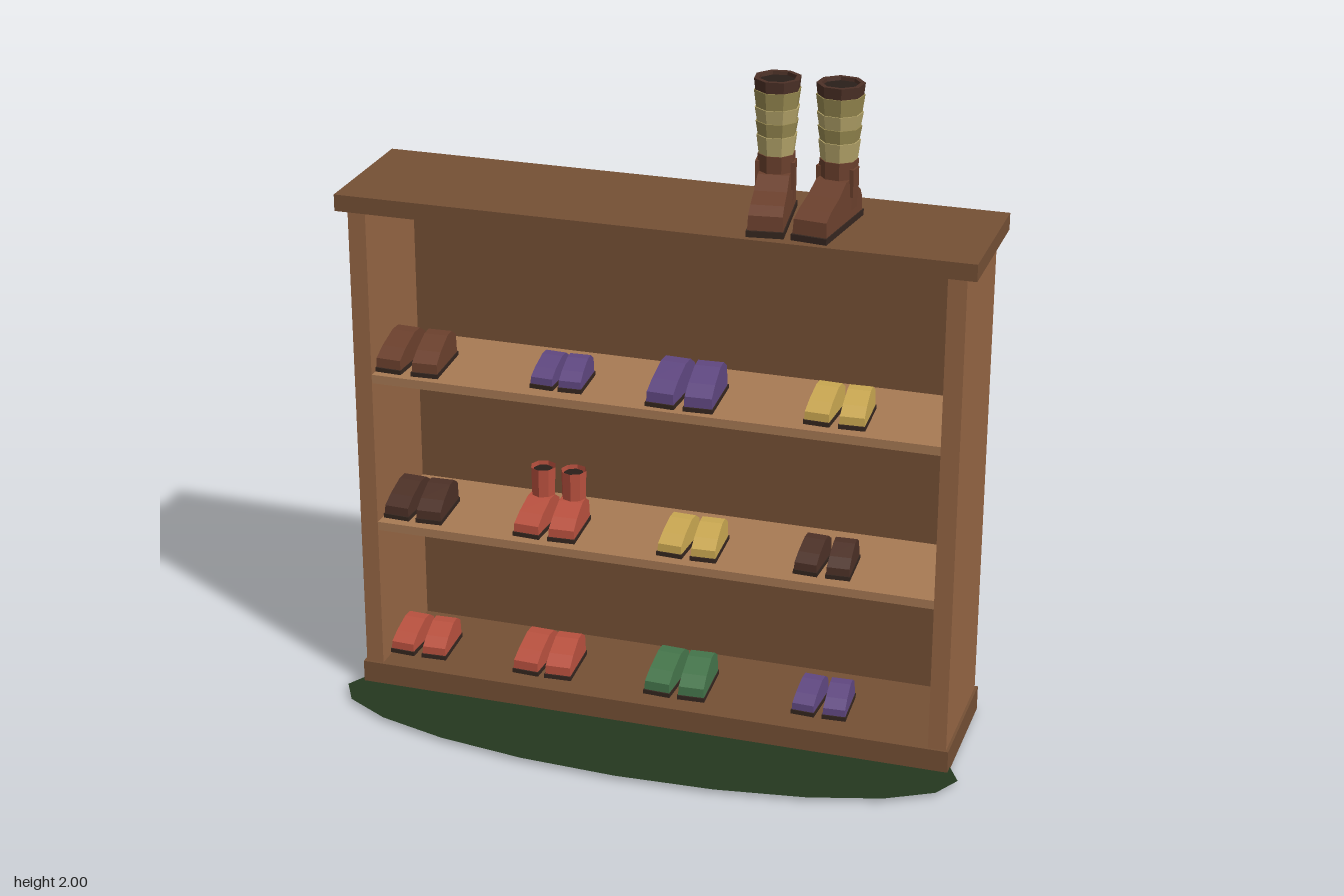
import * as THREE from 'three';

const material = (color) => new THREE.MeshStandardMaterial({ color, flatShading: true, side: THREE.DoubleSide });
const M = {
  wood: material(0x755035), panel: material(0x966644), shelf: material(0xa87a54),
  mat: material(0x24381f), sole: material(0x35261f), red: material(0xb8503e),
  purple: material(0x5f4780), yellow: material(0xc8a650), green: material(0x44744a),
  brown: material(0x6b402d), dark: material(0x4c3026), cloth: material(0xb5a56a),
  clothDark: material(0x978950), lining: material(0x2a1f1a),
};

function add(parent, name, geometry, mat, x = 0, y = 0, z = 0) {
  const mesh = new THREE.Mesh(geometry, mat);
  mesh.name = name;
  mesh.position.set(x, y, z);
  parent.add(mesh);
  return mesh;
}

// Box given by its limits on each axis
function slab(parent, name, mat, [x0, x1], [y0, y1], [z0, z1]) {
  return add(parent, name, new THREE.BoxGeometry(x1 - x0, y1 - y0, z1 - z0), mat,
    (x0 + x1) / 2, (y0 + y1) / 2, (z0 + z1) / 2);
}

// Side profile [z, y] extruded to a width and narrowed toward the top
function profileBody(points, width, taper) {
  const shape = new THREE.Shape(points.map(([z, y]) => new THREE.Vector2(z, y)));
  const g = new THREE.ExtrudeGeometry(shape, { depth: width, bevelEnabled: false });
  g.translate(0, 0, -width / 2).rotateY(-Math.PI / 2);
  const p = g.attributes.position;
  const top = Math.max(...points.map((q) => q[1]));
  for (let i = 0; i < p.count; i++) p.setX(i, p.getX(i) * (1 - taper * p.getY(i) / top));
  g.computeVertexNormals();
  return g;
}

// Low shoe, toe toward +z, centred on its own length
function shoe(mat, width, height, length, shaftHeight) {
  const g = new THREE.Group();
  g.name = 'shoe';
  const h = height, L = length / 2, s = 0.013;
  slab(g, 'sole', M.sole, [-width / 2, width / 2], [0, s], [-L, L]);
  const body = [[-L * 0.95, s], [L * 0.95, s], [L * 0.93, h * 0.45], [L * 0.5, h * 0.72],
    [-L * 0.2, h], [-L * 0.6, h], [-L * 0.95, h * 0.75]];
  add(g, 'upper', profileBody(body, width * 0.96, 0.1), mat);
  if (shaftHeight) {
    const tall = shaftHeight - h * 0.5;
    add(g, 'shaft', new THREE.CylinderGeometry(0.039, 0.036, tall, 8, 1, true), mat, 0, h * 0.5 + tall / 2, -L * 0.6);
    add(g, 'lining', new THREE.CylinderGeometry(0.03, 0.03, 0.004, 8), M.lining, 0, shaftHeight - 0.012, -L * 0.6);
  }
  return g;
}

// Tall boot with a banded cloth shaft, turned about the shaft axis
function tallBoot() {
  const g = new THREE.Group();
  g.name = 'tallBoot';
  slab(g, 'sole', M.sole, [-0.053, 0.053], [0, 0.018], [-0.065, 0.215]);
  const foot = [[-0.06, 0.018], [0.208, 0.018], [0.205, 0.06], [0.17, 0.08], [0.11, 0.1],
    [0.055, 0.13], [0.02, 0.13], [-0.05, 0.08], [-0.06, 0.06]];
  add(g, 'foot', profileBody(foot, 0.102, 0.12), M.brown);
  const ring = (name, mat, r0, r1, y0, y1) => add(g, name,
    new THREE.CylinderGeometry(r1, r0, y1 - y0, 8, 1, false).rotateY(Math.PI / 8), mat, 0, (y0 + y1) / 2, 0);
  ring('ankle', M.brown, 0.053, 0.055, 0.02, 0.18);
  const bands = [0.18, 0.235, 0.275, 0.315, 0.365];
  for (let i = 0; i < 4; i++) {
    const r = 0.052 + i * 0.003;
    ring('clothBand', i % 2 ? M.clothDark : M.cloth, r, r + 0.007, bands[i], bands[i + 1]);
  }
  const cuff = [[0.05, 0.37], [0.064, 0.362], [0.068, 0.398], [0.054, 0.398], [0.052, 0.375]];
  add(g, 'cuff', new THREE.LatheGeometry(cuff.map(([r, y]) => new THREE.Vector2(r, y)), 8).rotateY(Math.PI / 8), M.dark);
  add(g, 'lining', new THREE.CylinderGeometry(0.053, 0.053, 0.01, 8).rotateY(Math.PI / 8), M.lining, 0, 0.383, 0);
  // Raised straps on both sides of the ankle
  for (const s of [-1, 1]) slab(g, 'strap', M.brown, [s * 0.05 - 0.006, s * 0.05 + 0.006], [0.08, 0.16], [-0.012, 0.03]);
  return g;
}

export function createModel() {
  const model = new THREE.Group();
  model.name = 'shoeShelf';

  // Cabinet
  const cabinet = new THREE.Group();
  cabinet.name = 'cabinet';
  model.add(cabinet);
  slab(cabinet, 'topBoard', M.wood, [-0.94, 0.94], [1.55, 1.6], [-0.367, 0.07]);
  slab(cabinet, 'base', M.wood, [-0.917, 0.917], [0.005, 0.082], [-0.36, 0.056]);
  for (const s of [-1, 1]) {
    slab(cabinet, 'sidePanel', M.panel, [s * 0.882 - 0.027, s * 0.882 + 0.027], [0, 1.55], [-0.35, 0.048]);
  }
  slab(cabinet, 'backPanel', M.wood, [-0.86, 0.86], [0.08, 1.537], [-0.335, -0.315]);
  for (const y of [0.56, 1.04]) slab(cabinet, 'shelf', M.shelf, [-0.855, 0.855], [y - 0.027, y], [-0.32, 0.045]);

  // Thin oval mat under the front
  const mat = add(model, 'mat', new THREE.CircleGeometry(1, 20).rotateX(-Math.PI / 2), M.mat, 0, 0.014, 0.092);
  mat.scale.set(0.956, 1, 0.275);

  // Shoe pairs: floor height, then [colour, left x, right x, width, height, length, shaft height]
  const rows = [
    [1.04, [
      ['brown', -0.81, -0.705, 0.083, 0.092, 0.195], ['purple', -0.34, -0.26, 0.072, 0.075, 0.15],
      ['purple', 0.03, 0.135, 0.088, 0.097, 0.2], ['yellow', 0.49, 0.585, 0.078, 0.082, 0.17]]],
    [0.56, [
      ['dark', -0.805, -0.71, 0.082, 0.086, 0.18], ['red', -0.39, -0.288, 0.084, 0.086, 0.18, 0.175],
      ['yellow', 0.055, 0.15, 0.079, 0.082, 0.17], ['dark', 0.465, 0.555, 0.073, 0.077, 0.155]]],
    [0.097, [
      ['red', -0.805, -0.71, 0.078, 0.08, 0.165], ['red', -0.4, -0.305, 0.084, 0.088, 0.18],
      ['green', 0.02, 0.118, 0.084, 0.09, 0.19], ['purple', 0.467, 0.555, 0.072, 0.075, 0.155]]],
  ];
  for (const [y, pairs] of rows) {
    for (const [color, xa, xb, ...size] of pairs) {
      const pair = new THREE.Group();
      pair.name = 'shoePair';
      [xa, xb].forEach((x, i) => {
        const item = shoe(M[color], ...size);
        item.position.set(x, y, -0.077);
        item.rotation.y = i ? 0.05 : -0.05;
        pair.add(item);
      });
      model.add(pair);
    }
  }

  // Tall boots on the top board, toes turned slightly inward
  for (const s of [-1, 1]) {
    const boot = tallBoot();
    boot.position.set(0.4 + s * 0.09, 1.602, -0.163);
    boot.rotation.y = -s * 0.13;
    model.add(boot);
  }
  return model;
}
